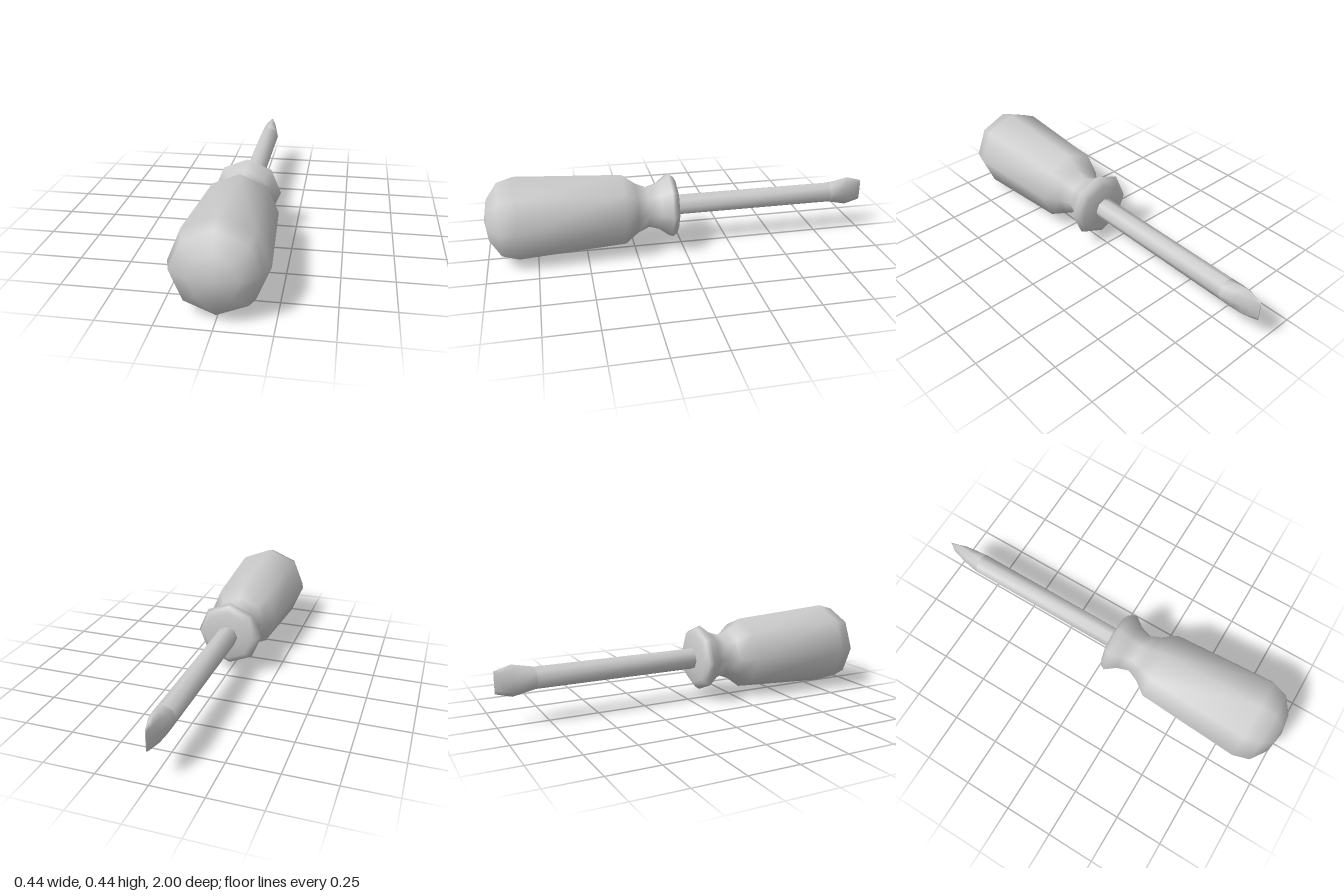
import * as THREE from 'three';
import { mergeVertices } from 'three/addons/utils/BufferGeometryUtils.js';

const AXIS_Y = 0.22;
const SIDES = 8;

// Eight-sided turned part along z from [radius, z] pairs (z ascending), with an optional reshaping rule
function turned(name, profile, material, reshape) {
  const points = profile.map(([r, z]) => new THREE.Vector2(r, z));
  let geometry = new THREE.LatheGeometry(points, SIDES);
  geometry.rotateX(Math.PI / 2);
  if (reshape) {
    const pos = geometry.attributes.position;
    for (let i = 0; i < pos.count; i++) {
      const [sx, sy] = reshape(pos.getZ(i));
      pos.setX(i, pos.getX(i) * sx);
      pos.setY(i, pos.getY(i) * sy);
    }
  }
  // Weld the seam so shading stays smooth all the way round
  geometry.deleteAttribute('uv');
  geometry.deleteAttribute('normal');
  geometry = mergeVertices(geometry, 1e-5);
  geometry.computeVertexNormals();
  const mesh = new THREE.Mesh(geometry, material);
  mesh.name = name;
  mesh.position.y = AXIS_Y;
  return mesh;
}

export function createModel() {
  const model = new THREE.Group();
  model.name = 'screwdriver';
  const grey = new THREE.MeshStandardMaterial({ color: 0xcccccc });

  // Grip: collar, pinched neck, tapered barrel and domed butt
  model.add(turned('handle', [
    [0, 0.02], [0.06, 0.022], [0.13, 0.03], [0.158, 0.045], [0.172, 0.068],
    [0.13, 0.122], [0.11, 0.182], [0.135, 0.24], [0.188, 0.31],
    [0.22, 0.84], [0.195, 0.922], [0.11, 0.98], [0, 1],
  ], grey));

  // Straight rod
  const ROD = 0.055;
  model.add(turned('shaft', [[ROD, -0.81], [ROD, 0.04]], grey));

  // Blade: flares in height while thinning to an edge
  const bladeScale = (z) => {
    const t = (-0.81 - z) / 0.19;
    const width = 1 - 0.4 * t - 0.55 * t * t;
    const height = t < 0.58 ? 1 + 0.42 * (t / 0.58) : 1.42 - 0.42 * ((t - 0.58) / 0.42);
    return [width, height];
  };
  model.add(turned('blade', [
    [0, -1], [ROD, -1], [ROD, -0.96], [ROD, -0.92], [ROD, -0.865], [ROD, -0.81],
  ], grey, bladeScale));

  return model;
}
